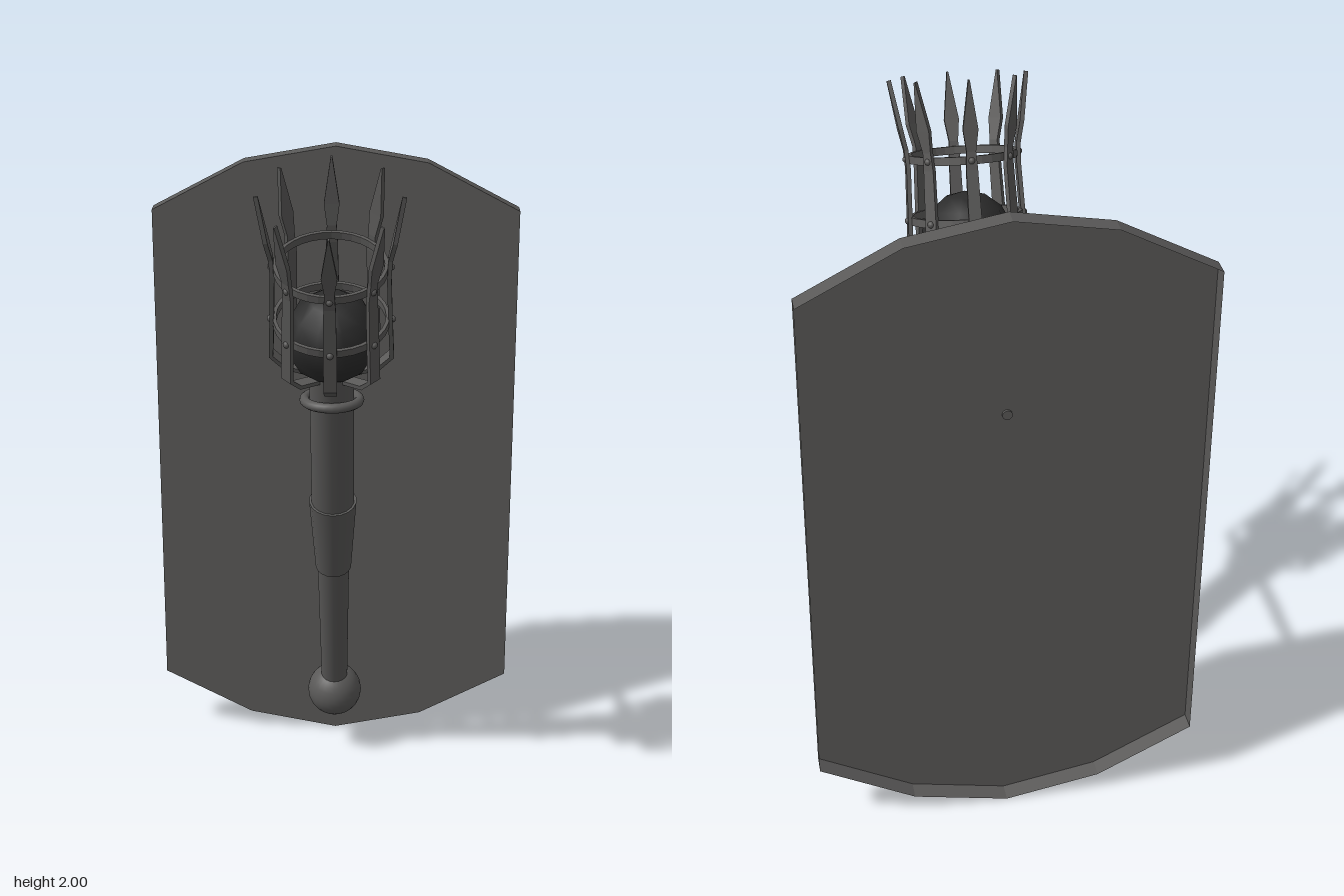
import * as THREE from 'three';

const iron = new THREE.MeshStandardMaterial({ color: 0x5a5958, side: THREE.DoubleSide });
iron.name = 'iron';
const coal = new THREE.MeshStandardMaterial({ color: 0x2b2b2b });
coal.name = 'coal';

function add(parent, name, geometry, material = iron) {
  const mesh = new THREE.Mesh(geometry, material);
  mesh.name = name;
  parent.add(mesh);
  return mesh;
}

// Flat-shaded geometry from a list of four-cornered faces
function quadGeometry(quads) {
  const g = new THREE.BufferGeometry();
  const points = quads.flatMap(([a, b, c, d]) => [a, b, c, a, c, d].flat());
  g.setAttribute('position', new THREE.Float32BufferAttribute(points, 3));
  g.computeVertexNormals();
  return g;
}

// Flat strip swept along [radius, height, halfWidth] stations
function stripGeometry(stations, halfThickness) {
  const rings = stations.map(([r, t, w], i) => {
    const a = stations[Math.max(i - 1, 0)];
    const b = stations[Math.min(i + 1, stations.length - 1)];
    const length = Math.hypot(b[0] - a[0], b[1] - a[1]);
    const nr = (b[1] - a[1]) / length * halfThickness;
    const nt = -(b[0] - a[0]) / length * halfThickness;
    return [[-w, t - nt, r - nr], [w, t - nt, r - nr], [w, t + nt, r + nr], [-w, t + nt, r + nr]];
  });
  const quads = [rings[0], [...rings[rings.length - 1]].reverse()];
  for (let s = 0; s < rings.length - 1; s++) {
    const a = rings[s], b = rings[s + 1];
    for (let i = 0; i < 4; i++) {
      const j = (i + 1) % 4;
      quads.push([a[i], b[i], b[j], a[j]]);
    }
  }
  return quadGeometry(quads);
}

// Flat hoop band with a rectangular section
function bandGeometry(inner, outer, height) {
  const h = height / 2;
  const sides = [[inner, h, inner, -h], [inner, -h, outer, -h], [outer, -h, outer, h], [outer, h, inner, h]];
  const quads = [];
  const at = (r, y, i) => [r * Math.sin(i * Math.PI / 16), y, r * Math.cos(i * Math.PI / 16)];
  for (let i = 0; i < 32; i++) {
    for (const [r0, y0, r1, y1] of sides) {
      quads.push([at(r0, y0, i), at(r0, y0, i + 1), at(r1, y1, i + 1), at(r1, y1, i)]);
    }
  }
  return quadGeometry(quads);
}

export function createModel() {
  const model = new THREE.Group();
  model.name = 'wallTorch';

  // Wall plate: a front panel with a rim folded back, open behind
  const front = -0.441, back = -0.495;
  const outline = [[0, 0], [0.271, 0.053], [0.542, 0.196], [0.542, 1.711], [0.271, 1.854], [0, 1.902],
    [-0.271, 1.854], [-0.542, 1.711], [-0.542, 0.196], [-0.271, 0.053]];
  const panel = new THREE.Shape(outline.map(([x, y]) => new THREE.Vector2(x, y)));
  add(model, 'platePanel', new THREE.ShapeGeometry(panel)).position.z = front;
  add(model, 'plateRim', quadGeometry(outline.map(([x, y], i) => {
    const [u, v] = outline[(i + 1) % outline.length];
    return [[x, y, back], [u, v, back], [u, v, front], [x, y, front]];
  })));

  // Bracket rod and the loop that holds the handle
  const rod = add(model, 'bracketRod', new THREE.CylinderGeometry(0.014, 0.014, 0.465, 12));
  rod.rotation.x = Math.PI / 2;
  rod.position.set(0, 1.312, -0.2155);
  const loop = add(model, 'bracketLoop', new THREE.TorusGeometry(0.076, 0.014, 10, 28));
  loop.rotation.x = Math.PI / 2;
  loop.position.set(0, 1.312, 0.098);

  // Tilted torch, measured along its own axis from the pommel
  const torch = new THREE.Group();
  torch.name = 'torch';
  torch.position.set(0, 0.203, -0.315);
  torch.rotation.x = THREE.MathUtils.degToRad(20);
  model.add(torch);

  add(torch, 'pommel', new THREE.SphereGeometry(0.083, 24, 16));
  const handle = [
    ['lowerHandle', 0.047, 0.04, 0.04, 0.545],
    ['middleHandle', 0.069, 0.053, 0.54, 0.8],
    ['upperHandle', 0.062, 0.062, 0.795, 1.285],
  ];
  for (const [name, top, bottom, from, to] of handle) {
    add(torch, name, new THREE.CylinderGeometry(top, bottom, to - from, 18)).position.y = (from + to) / 2;
  }

  // Fuel ball inside the basket
  add(torch, 'fuelBall', new THREE.SphereGeometry(0.13, 10, 7), coal).position.y = 1.396;

  // Two hoops around the basket
  for (const [name, radius, height] of [['lowerHoop', 0.155, 1.455], ['upperHoop', 0.15, 1.625]]) {
    add(torch, name, bandGeometry(radius - 0.008, radius + 0.002, 0.022)).position.y = height;
  }

  // Eight bent bars ending in spear points, riveted to the hoops
  const bar = stripGeometry([
    [0.045, 1.272, 0.016], [0.13, 1.3, 0.017], [0.164, 1.337, 0.018], [0.159, 1.455, 0.018],
    [0.154, 1.6, 0.016], [0.157, 1.65, 0.013], [0.169, 1.71, 0.021], [0.191, 1.842, 0.002],
  ], 0.006);
  const rivet = new THREE.SphereGeometry(0.01, 10, 8);
  for (let i = 0; i < 8; i++) {
    const spike = new THREE.Group();
    spike.name = 'basketSpike';
    spike.rotation.y = i * Math.PI / 4;
    torch.add(spike);
    add(spike, 'spikeBar', bar);
    add(spike, 'lowerRivet', rivet).position.set(0, 1.455, 0.163);
    add(spike, 'upperRivet', rivet).position.set(0, 1.625, 0.158);
  }
  return model;
}
